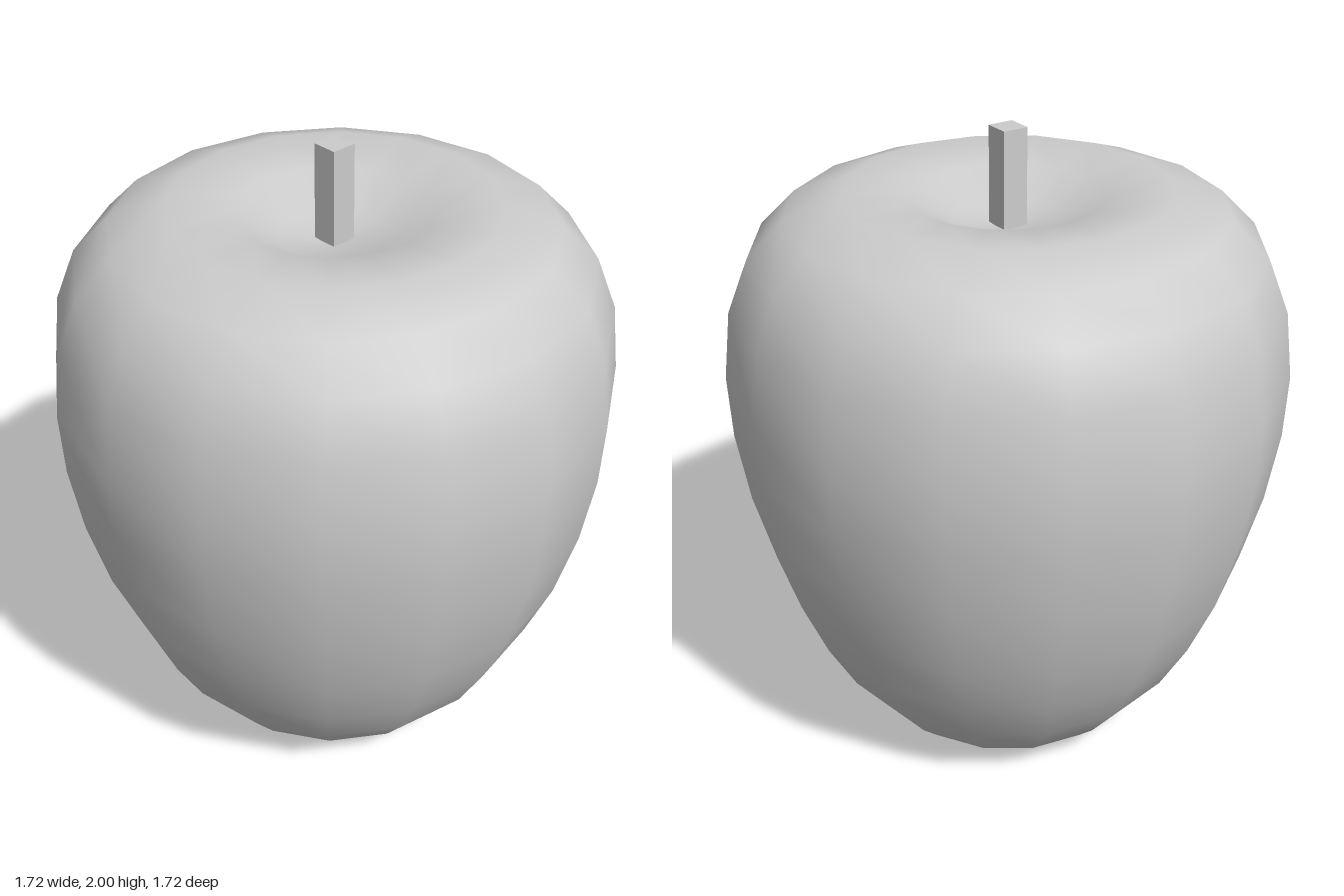
import * as THREE from 'three';

export function createModel() {
  const group = new THREE.Group();
  group.name = 'apple';
  const grey = new THREE.MeshStandardMaterial({ color: 0xcccccc });
  grey.name = 'light grey';

  // Body: one smooth 16-sided turn, from the bottom hollow round to the top dimple
  const profile = [
    [0, 0.22], [0.1, 0.2], [0.18, 0.13], [0.24, 0.04], [0.31, 0.003],
    [0.36, 0.01], [0.42, 0.05], [0.49, 0.12], [0.59, 0.25], [0.68, 0.42],
    [0.76, 0.62], [0.82, 0.85], [0.855, 1.08], [0.862, 1.28], [0.835, 1.49],
    [0.77, 1.65], [0.66, 1.76], [0.49, 1.82], [0.29, 1.795], [0.16, 1.72], [0, 1.7],
  ].map(([r, y]) => new THREE.Vector2(r, Math.max(0, y - 0.003 * (y < 0.01))));
  const body = new THREE.Mesh(new THREE.LatheGeometry(profile, 16), grey);
  body.name = 'body';
  group.add(body);

  // Stem: a square post standing in the dimple
  const bottom = 1.68, top = 2;
  const stem = new THREE.Mesh(new THREE.BoxGeometry(0.08, top - bottom, 0.08), grey);
  stem.position.y = (top + bottom) / 2;
  stem.name = 'stem';
  group.add(stem);

  return group;
}
